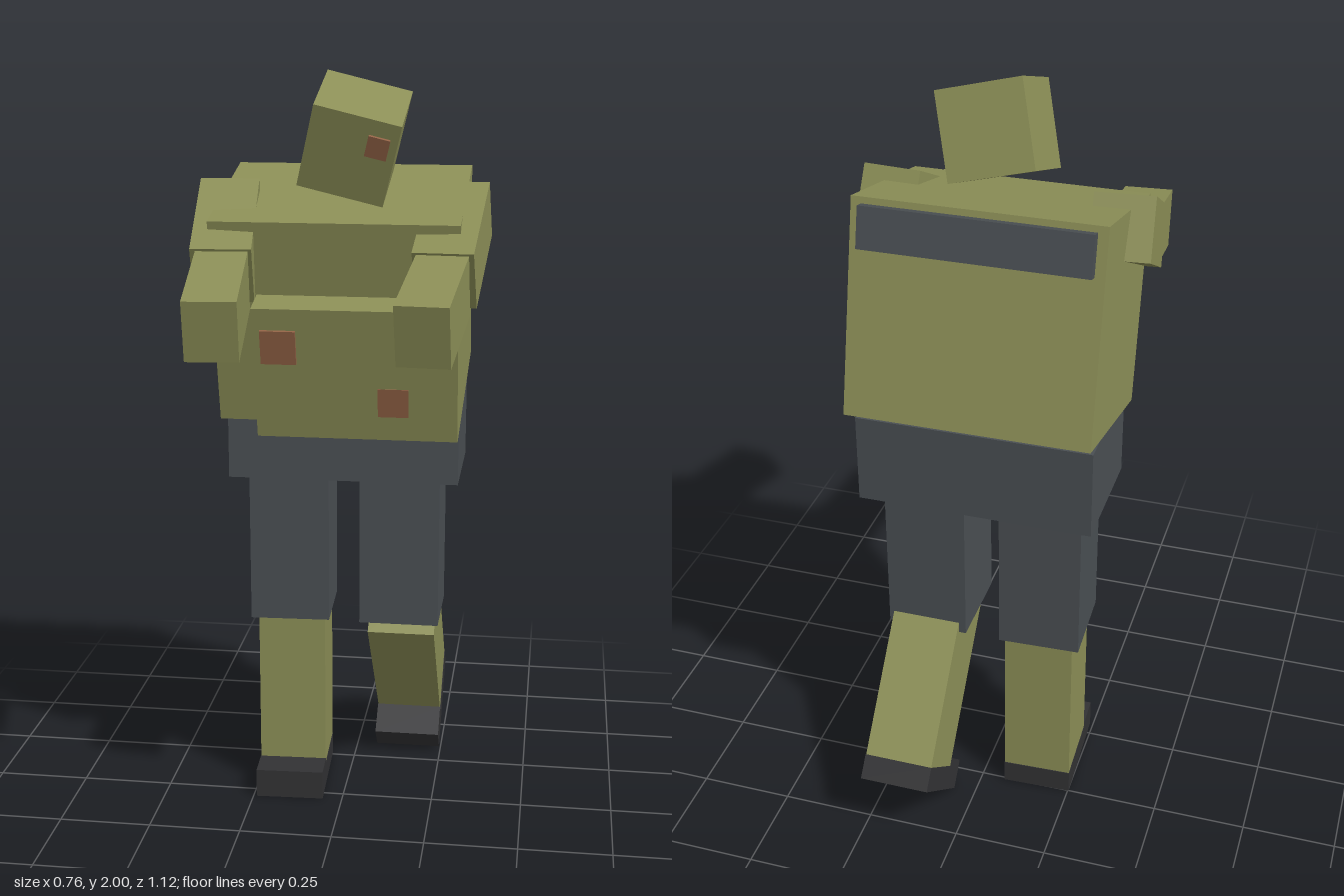
import * as THREE from 'three';

const material = (name, color) => {
  const m = new THREE.MeshStandardMaterial({ color });
  m.name = name;
  return m;
};

export function createModel() {
  const olive = material('olive', 0x8c8f57);
  const slate = material('slate grey', 0x4a4f53);
  const black = material('boot black', 0x323234);
  const brown = material('patch brown', 0x936346);

  const model = new THREE.Group();
  model.name = 'blockFigure';

  const box = (parent, name, mat, size, pos, rot = [0, 0, 0], order = 'XYZ') => {
    const mesh = new THREE.Mesh(new THREE.BoxGeometry(...size), mat);
    mesh.name = name;
    mesh.position.set(...pos);
    mesh.rotation.set(...rot, order);
    parent.add(mesh);
    return mesh;
  };
  const group = (name, pos, rot = [0, 0, 0], order = 'XYZ') => {
    const g = new THREE.Group();
    g.name = name;
    g.position.set(...pos);
    g.rotation.set(...rot, order);
    model.add(g);
    return g;
  };

  // Torso leaning forward, with an off-centre belly block and a back plate
  const torso = group('torso', [0, 1.4265, -0.085], [0.225, 0, 0]);
  box(torso, 'chest', olive, [0.63, 0.548, 0.46], [0, 0, 0]);
  box(torso, 'belly', olive, [0.515, 0.355, 0.1], [0.0575, -0.0965, 0.27]);
  box(torso, 'backPlate', slate, [0.578, 0.105, 0.028], [0, 0.205, -0.243]);
  box(torso, 'bellyPatch', brown, [0.09, 0.09, 0.009], [-0.135, -0.021, 0.3235]);
  box(torso, 'lowerPatch', brown, [0.078, 0.078, 0.004], [0.152, -0.169, 0.32]);

  // Tilted cube head with a single eye
  const head = group('head', [0.034, 1.836, 0.031], [0.336, -0.027, -0.248]);
  box(head, 'skull', olive, [0.223, 0.223, 0.223], [0, 0, 0]);
  box(head, 'eye', brown, [0.055, 0.055, 0.009], [0.0645, 0.043, 0.115]);

  // Arms reaching forward
  for (const [side, x, yaw, foreX, foreYaw] of [
    ['left', 0.29, -0.076, 0.265, -0.088],
    ['right', -0.286, 0.1, -0.254, 0.095],
  ]) {
    box(model, side + 'UpperArm', olive, [0.152, 0.161, 0.315],
      [x, 1.5835, 0.0915], [0.47, yaw, 0], 'YXZ');
    box(model, side + 'Forearm', olive, [0.13, 0.155, 0.296],
      [foreX, 1.467, 0.39], [0.25, foreYaw, 0], 'YXZ');
  }

  // Hips and thighs
  box(model, 'hips', slate, [0.617, 0.24, 0.329], [0, 1.05, -0.149]);
  box(model, 'leftThigh', slate, [0.217, 0.45, 0.235], [0.149, 0.735, -0.149]);
  box(model, 'rightThigh', slate, [0.217, 0.45, 0.23], [-0.158, 0.735, -0.149], [0, 0.04, 0]);

  // Lower legs with boots; the left knee is bent back
  for (const [side, pos, rot] of [
    ['left', [0.1525, 0.533, -0.1425], [0.698, 0, 0]],
    ['right', [-0.155, 0.53, -0.1525], [0, 0.04, 0]],
  ]) {
    const leg = group(side + 'LowerLeg', pos, rot);
    box(leg, side + 'Shin', olive, [0.185, 0.465, 0.2], [0, -0.2325, 0]);
    box(leg, side + 'BootSole', black, [0.187, 0.065, 0.204], [0, -0.4975, 0]);
    box(leg, side + 'BootToe', black, [0.187, 0.08, 0.092], [0, -0.49, 0.146]);
  }

  return model;
}
